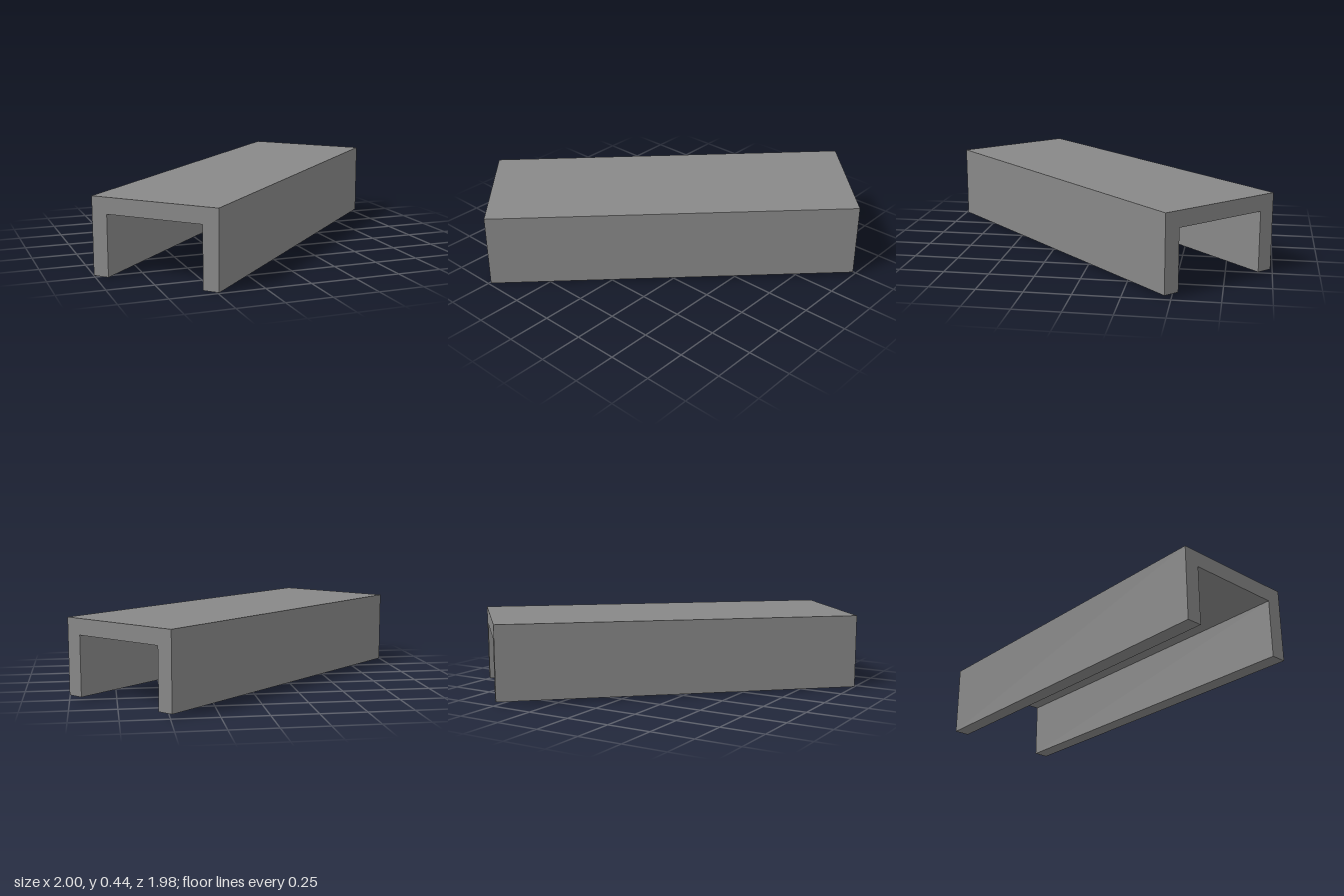
import * as THREE from 'three';

const LENGTH = 2.083, WIDTH = 0.728, HEIGHT = 0.423, WALL = 0.089, RISE = 0.021;

export function createModel() {
  const group = new THREE.Group();
  group.name = 'channelBeam';

  // U-shaped section, open at the bottom
  const h = WIDTH / 2, i = h - WALL;
  const section = new THREE.Shape([
    [-h, 0], [-i, 0], [-i, HEIGHT - WALL], [i, HEIGHT - WALL],
    [i, 0], [h, 0], [h, HEIGHT], [-h, HEIGHT],
  ].map(([x, y]) => new THREE.Vector2(x, y)));

  const geometry = new THREE.ExtrudeGeometry(section, { depth: LENGTH, bevelEnabled: false });
  geometry.translate(0, 0, -LENGTH / 2);

  // Gentle rise towards the back, keeping both ends vertical
  const slope = RISE / LENGTH;
  geometry.applyMatrix4(new THREE.Matrix4().set(
    1, 0, 0, 0,
    0, 1, -slope, RISE / 2,
    0, 0, 1, 0,
    0, 0, 0, 1,
  ));

  // Lay the beam diagonally, from front right to back left
  const channel = new THREE.Mesh(geometry, new THREE.MeshStandardMaterial({ color: 0x888888, flatShading: true }));
  channel.name = 'channel';
  channel.rotation.y = -0.797;
  group.add(channel);
  return group;
}
